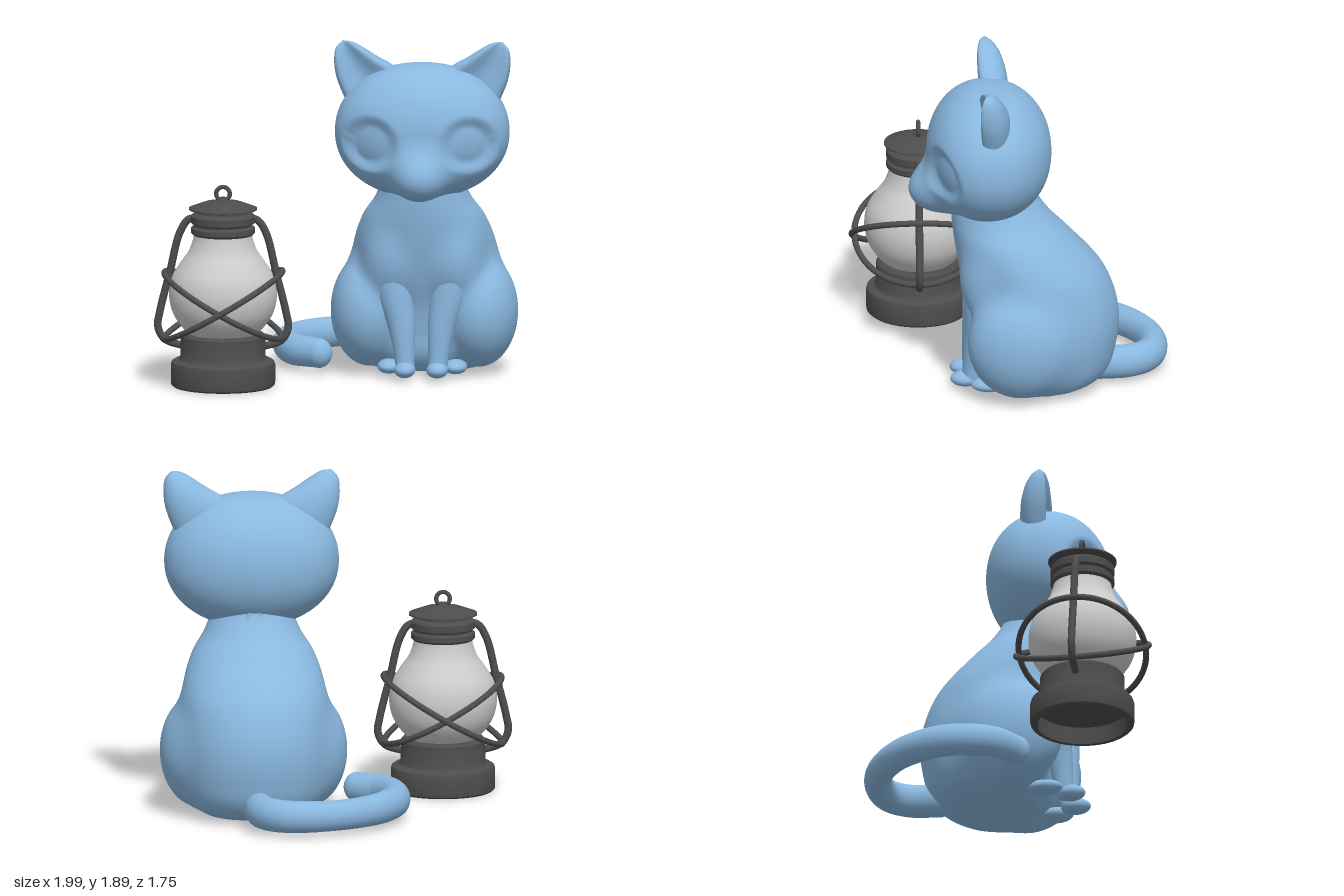
import * as THREE from 'three';
import { mergeVertices, toCreasedNormals } from 'three/addons/utils/BufferGeometryUtils.js';
import { ParametricGeometry } from 'three/addons/geometries/ParametricGeometry.js';

const fur = new THREE.MeshStandardMaterial({ color: 0x8ab8e0 });
const metal = new THREE.MeshStandardMaterial({ color: 0x4d4d4d });
const glass = new THREE.MeshStandardMaterial({ color: 0xcccccc });
const V = (x, y, z) => new THREE.Vector3(x, y, z);

function add(parent, name, geometry, material) {
  const mesh = new THREE.Mesh(geometry, material);
  mesh.name = name;
  parent.add(mesh);
  return mesh;
}

// Weld the seams and recompute smooth normals
function smooth(g) {
  g.deleteAttribute('uv');
  g.deleteAttribute('normal');
  const welded = mergeVertices(g, 1e-5);
  welded.computeVertexNormals();
  return welded;
}

// Soft union of two implicit fields
function blend(a, b, k) {
  const h = Math.max(k - Math.abs(a - b), 0) / k;
  return Math.min(a, b) - h * h * k * 0.25;
}

function ellipsoid(x, y, z, rx, ry, rz, p = 2) {
  const sum = Math.abs(x / rx) ** p + Math.abs(y / ry) ** p + Math.abs(z / rz) ** p;
  return (sum ** (1 / p) - 1) * Math.min(rx, ry, rz);
}

// Shrink a sphere along its rays onto the surface field(x, y, z) = 0
function skin(centre, field, cols, rows) {
  const g = new THREE.SphereGeometry(1, cols, rows);
  const pos = g.attributes.position;
  const d = V(), p = V();
  const at = (r) => { p.copy(centre).addScaledVector(d, r); return field(p.x, p.y, p.z); };
  for (let i = 0; i < pos.count; i++) {
    d.fromBufferAttribute(pos, i).normalize();
    let hi = 1.1;
    while (hi > 0.03 && at(hi - 0.02) > 0) hi -= 0.02;
    let lo = hi - 0.02;
    for (let n = 0; n < 14; n++) {
      const mid = (lo + hi) / 2;
      if (at(mid) > 0) hi = mid; else lo = mid;
    }
    at(lo);
    pos.setXYZ(i, p.x, p.y, p.z);
  }
  return smooth(g);
}

// Torso sections: half width, front z, back z at each height
const heights = [0.02, 0.06, 0.12, 0.25, 0.4, 0.55, 0.7, 0.9, 1.0, 1.08, 1.15, 1.27];
const sections = new THREE.CubicInterpolant(heights, [
  0.27, 0.05, -0.43, 0.33, 0.1, -0.5, 0.37, 0.14, -0.55, 0.4, 0.16, -0.59,
  0.41, 0.19, -0.605, 0.41, 0.24, -0.58, 0.4, 0.28, -0.51, 0.335, 0.315, -0.33,
  0.27, 0.325, -0.235, 0.235, 0.325, -0.175, 0.21, 0.32, -0.14, 0.2, 0.3, -0.14,
], 3);

function bodyField(x, y, z) {
  const [rx, zf, zb] = sections.evaluate(Math.min(Math.max(y, 0.02), 1.27));
  const rz = (zf - zb) / 2;
  let f = (Math.hypot(x / rx, (z - (zf + zb) / 2) / rz) - 1) * Math.min(rx, rz);
  const ax = Math.abs(x);
  f = blend(f, ellipsoid(ax - 0.305, y - 0.35, z + 0.06, 0.215, 0.315, 0.3), 0.06);
  f = blend(f, ellipsoid(ax - 0.17, y - 0.66, z - 0.12, 0.14, 0.2, 0.15), 0.08);
  return Math.max(f, 0.02 - y, y - 1.27);
}

function headField(x, y, z) {
  const ax = Math.abs(x), dy = y - 1.385, dz = z - 0.13;
  let f = ellipsoid(x, dy, dz, 0.485, dy > 0 ? 0.383 : 0.372, dz > 0 ? 0.335 : 0.36, 2.1);
  f = blend(f, ellipsoid(x, y - 1.17, z - 0.4, 0.14, 0.135, 0.163), 0.12);
  // shallow eye sockets
  if (z > 0.1) f += 0.035 * (1 - THREE.MathUtils.smoothstep(Math.hypot(ax - 0.27, y - 1.35), 0.09, 0.17));
  return f;
}

// Tube whose radius follows a list of values, with round ends
function limb(points, radii, segments = 48) {
  const curve = new THREE.CatmullRomCurve3(points);
  const g = new THREE.TubeGeometry(curve, segments, 1, 24);
  const profile = new THREE.SplineCurve(radii.map((r, i) => new THREE.Vector2(i, r)));
  const pos = g.attributes.position, q = V();
  for (let i = 0; i < pos.count; i++) {
    const t = Math.floor(i / 25) / segments;
    const c = curve.getPointAt(t);
    q.fromBufferAttribute(pos, i).sub(c).multiplyScalar(profile.getPoint(t).y).add(c);
    pos.setXYZ(i, q.x, q.y, q.z);
  }
  const group = new THREE.Group();
  add(group, 'limbTube', smooth(g), fur);
  [0, points.length - 1].forEach((i) => {
    add(group, 'limbEnd', new THREE.SphereGeometry(radii[i], 24, 16), fur).position.copy(points[i]);
  });
  return group;
}

// Ear: inner edge, outer edge and depth swept to a rounded tip; s is the side
function ear(s) {
  const path = (list) => new THREE.CatmullRomCurve3(list.map(([x, y, z = 0]) => V(x, y, z)));
  const inner = path([[0.12, 1.68], [0.16, 1.745], [0.25, 1.8], [0.33, 1.852], [0.39, 1.884], [0.443, 1.892]]);
  const outer = path([[0.39, 1.48], [0.44, 1.58], [0.48, 1.69], [0.49, 1.78], [0.48, 1.85], [0.443, 1.892]]);
  const depth = path([[0.16, 0.01], [0.165, 0.005], [0.172, 0.02], [0.172, 0.05], [0.16, 0.09], [0.135, 0.134]]);
  return smooth(new ParametricGeometry((u, v, out) => {
    const a = -s * u * Math.PI * 2, c = Math.cos(a), n = Math.sin(a);
    const p = inner.getPoint(v).lerp(outer.getPoint(v), (1 + c) / 2);
    const { x: zf, y: zb } = depth.getPoint(v);
    const zm = zf * 0.6 + zb * 0.4;
    // front half is dished, back half is round
    const z = n > 0 ? zm + (zf - zm) * 2.3 * n * (1 - 0.8 * n * n) : zm + (zm - zb) * n;
    out.set(s * p.x, p.y, z);
  }, 40, 28));
}

function createCat() {
  const cat = new THREE.Group();
  cat.name = 'cat';
  add(cat, 'body', skin(V(0, 0.45, -0.12), bodyField, 128, 96), fur);
  add(cat, 'head', skin(V(0, 1.37, 0.13), headField, 128, 96), fur);
  for (const s of [1, -1]) {
    const side = s > 0 ? 'left' : 'right';
    add(cat, side + 'Ear', ear(s), fur);
    const leg = limb(
      [V(s * 0.17, 0.72, 0.11), V(s * 0.15, 0.5, 0.15), V(s * 0.108, 0.28, 0.19), V(s * 0.09, 0.07, 0.215)],
      [0.125, 0.108, 0.075, 0.052]);
    leg.name = side + 'FrontLeg';
    cat.add(leg);
    const paw = (name, x, z, rx, ry, rz) => {
      const m = add(cat, name, new THREE.SphereGeometry(1, 24, 16), fur);
      m.position.set(s * x, 0.06, z);
      m.scale.set(rx, ry, rz);
    };
    paw(side + 'FrontPaw', 0.09, 0.25, 0.06, 0.044, 0.083);
    paw(side + 'HindPaw', 0.185, 0.12, 0.065, 0.04, 0.1);
  }
  // Tail curls round to the right along the ground
  const tail = limb(
    [[0, -0.5], [-0.02, -0.66], [-0.11, -0.77], [-0.27, -0.8], [-0.47, -0.745], [-0.67, -0.58],
      [-0.775, -0.33], [-0.72, -0.09], [-0.58, 0.03]].map(([x, z]) => V(x, 0, z)),
    [0.085, 0.083, 0.08, 0.076, 0.077, 0.08, 0.082, 0.08, 0.074], 80);
  tail.name = 'tail';
  tail.scale.y = 1.12;
  tail.position.y = 0.113;
  cat.add(tail);
  return cat;
}

function createLantern() {
  const lantern = new THREE.Group();
  lantern.name = 'lantern';
  const lathe = (pts) => new THREE.LatheGeometry(pts.map(([x, y]) => new THREE.Vector2(x, y)), 64);
  // Base with a hollow underside
  add(lantern, 'base', toCreasedNormals(lathe([
    [0, 0.1], [0.25, 0.1], [0.25, 0], [0.275, 0], [0.287, 0.01], [0.29, 0.025], [0.29, 0.12], [0.285, 0.137],
    [0.27, 0.147], [0.245, 0.152], [0.235, 0.17], [0.235, 0.283], [0.225, 0.295], [0, 0.295],
  ]), 0.6), metal);
  const globe = new THREE.SplineCurve([
    [0.18, 0.29], [0.225, 0.33], [0.278, 0.41], [0.3, 0.51], [0.285, 0.61], [0.235, 0.695], [0.19, 0.76],
    [0.165, 0.83], [0.16, 0.88],
  ].map(([x, y]) => new THREE.Vector2(x, y))).getPoints(40);
  add(lantern, 'glassGlobe', new THREE.LatheGeometry(globe, 64), glass);
  add(lantern, 'cap', toCreasedNormals(lathe([
    [0, 0.85], [0.165, 0.85], [0.178, 0.862], [0.178, 0.89], [0.162, 0.9], [0.162, 0.908], [0.178, 0.918],
    [0.178, 0.955], [0.165, 0.968], [0.14, 0.973], [0.14, 0.982], [0.19, 0.992], [0.19, 1.0], [0.1, 1.033],
    [0.03, 1.043], [0.02, 1.06], [0, 1.06],
  ]), 0.6), metal);
  add(lantern, 'topRing', new THREE.TorusGeometry(0.038, 0.012, 12, 32), metal).position.y = 1.08;
  const tube = (name, pts, r, closed) => add(lantern, name,
    new THREE.TubeGeometry(new THREE.CatmullRomCurve3(pts, closed), 80, r, 12, closed), metal);
  // Side frame bars
  for (const s of [1, -1]) {
    tube(s > 0 ? 'leftFrame' : 'rightFrame',
      [[0.12, 0.945], [0.19, 0.935], [0.24, 0.86], [0.295, 0.64], [0.35, 0.42], [0.362, 0.33], [0.325, 0.26], [0.21, 0.22]]
        .map(([x, y]) => V(s * x, y, 0)), 0.021, false);
  }
  // Crossed guard hoops
  [[0.19, 0.33, 0.37], [-0.18, 0.325, 0.355]].forEach(([tilt, rx, rz]) => {
    const pts = [];
    for (let i = 0; i < 24; i++) {
      const a = i / 24 * Math.PI * 2;
      pts.push(V(rx * Math.cos(a), 0.455 + tilt * Math.cos(a), rz * Math.sin(a)));
    }
    tube('guardHoop', pts, 0.017, true);
  });
  return lantern;
}

export function createModel() {
  const model = new THREE.Group();
  model.name = 'catWithLantern';
  const cat = createCat();
  cat.position.x = 0.47;
  const lantern = createLantern();
  lantern.position.set(-0.615, 0, 0.485);
  model.add(cat, lantern);
  return model;
}
